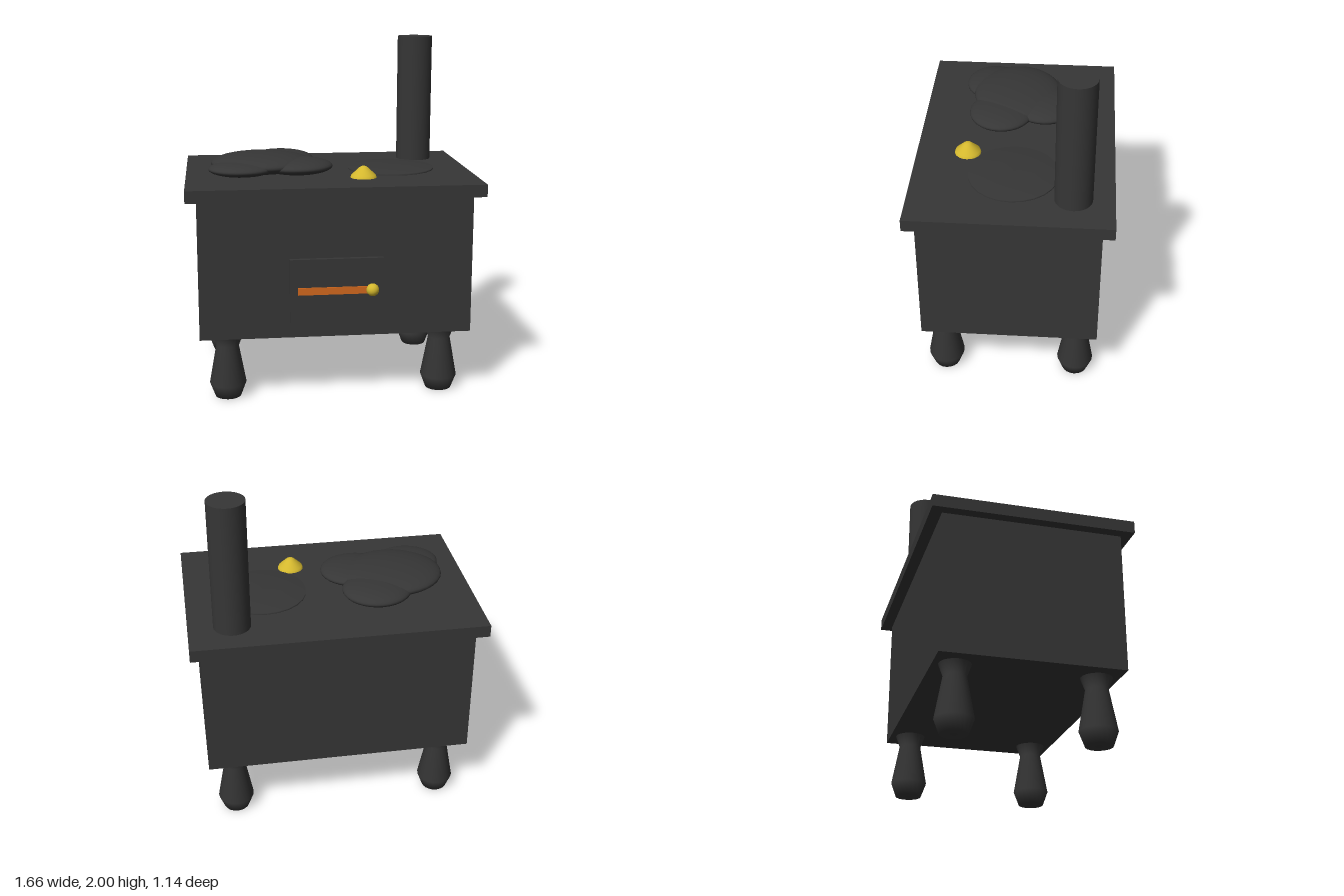
import * as THREE from 'three';

export function createModel() {
  const stove = new THREE.Group();
  stove.name = 'stove';

  const flat = (name, color) => {
    const m = new THREE.MeshStandardMaterial({ color });
    m.name = name;
    return m;
  };
  const iron = flat('castIron', 0x363636);
  const brass = flat('brass', 0xd4b82e);
  const copper = flat('copper', 0xd2691e);

  const add = (name, geometry, material, x, y, z) => {
    const mesh = new THREE.Mesh(geometry, material);
    mesh.name = name;
    mesh.position.set(x, y, z);
    stove.add(mesh);
    return mesh;
  };
  const lathe = (points, sides) =>
    new THREE.LatheGeometry(points.map(([r, y]) => new THREE.Vector2(r, y)), sides);

  // Firebox and overhanging cooktop
  add('firebox', new THREE.BoxGeometry(1.54, 0.795, 1.01), iron, 0, 0.7725, -0.003);
  add('cooktop', new THREE.BoxGeometry(1.66, 0.07, 1.134), iron, 0, 1.205, -0.005);

  // Four turned legs
  const legShape = lathe([[0, 0], [0.075, 0], [0.105, 0.08], [0.063, 0.31], [0.088, 0.376]], 20);
  for (const x of [-0.615, 0.615]) {
    for (const z of [-0.388, 0.382]) add('leg', legShape, iron, x, 0, z);
  }

  // Oven door with a flat handle bar and a round knob
  add('ovenDoor', new THREE.BoxGeometry(0.525, 0.365, 0.03), iron, -0.002, 0.65, 0.514);
  add('handleBar', new THREE.BoxGeometry(0.4, 0.042, 0.008), copper, -0.02, 0.65, 0.531);
  add('handleKnob', new THREE.SphereGeometry(0.036, 20, 14), brass, 0.198, 0.65, 0.536);

  // Chimney pipe
  add('chimney', new THREE.CylinderGeometry(0.105, 0.105, 0.77, 32), iron, 0.583, 1.615, -0.345);

  // Slightly domed burner plate
  add('burner', lathe([[0.255, 0], [0.255, 0.01], [0.12, 0.018], [0, 0.02]], 24), iron, 0.38, 1.24, -0.005);

  // Small conical cap
  add('cap', lathe([[0.076, 0], [0.07, 0.014], [0.026, 0.056], [0.014, 0.064], [0, 0.065]], 24), brass, 0.18, 1.24, 0.27);

  // Cluster of flattened lumps: x, y, z, then radii
  const lumpShape = new THREE.SphereGeometry(1, 32, 20);
  const lumps = [
    [-0.39, 1.295, 0.02, 0.295, 0.06, 0.265],
    [-0.27, 1.287, -0.15, 0.2, 0.05, 0.192],
    [-0.185, 1.285, 0.105, 0.205, 0.047, 0.19],
    [-0.51, 1.285, 0.17, 0.19, 0.042, 0.17],
  ];
  for (const [x, y, z, rx, ry, rz] of lumps) {
    add('lump', lumpShape, iron, x, y, z).scale.set(rx, ry, rz);
  }

  return stove;
}
